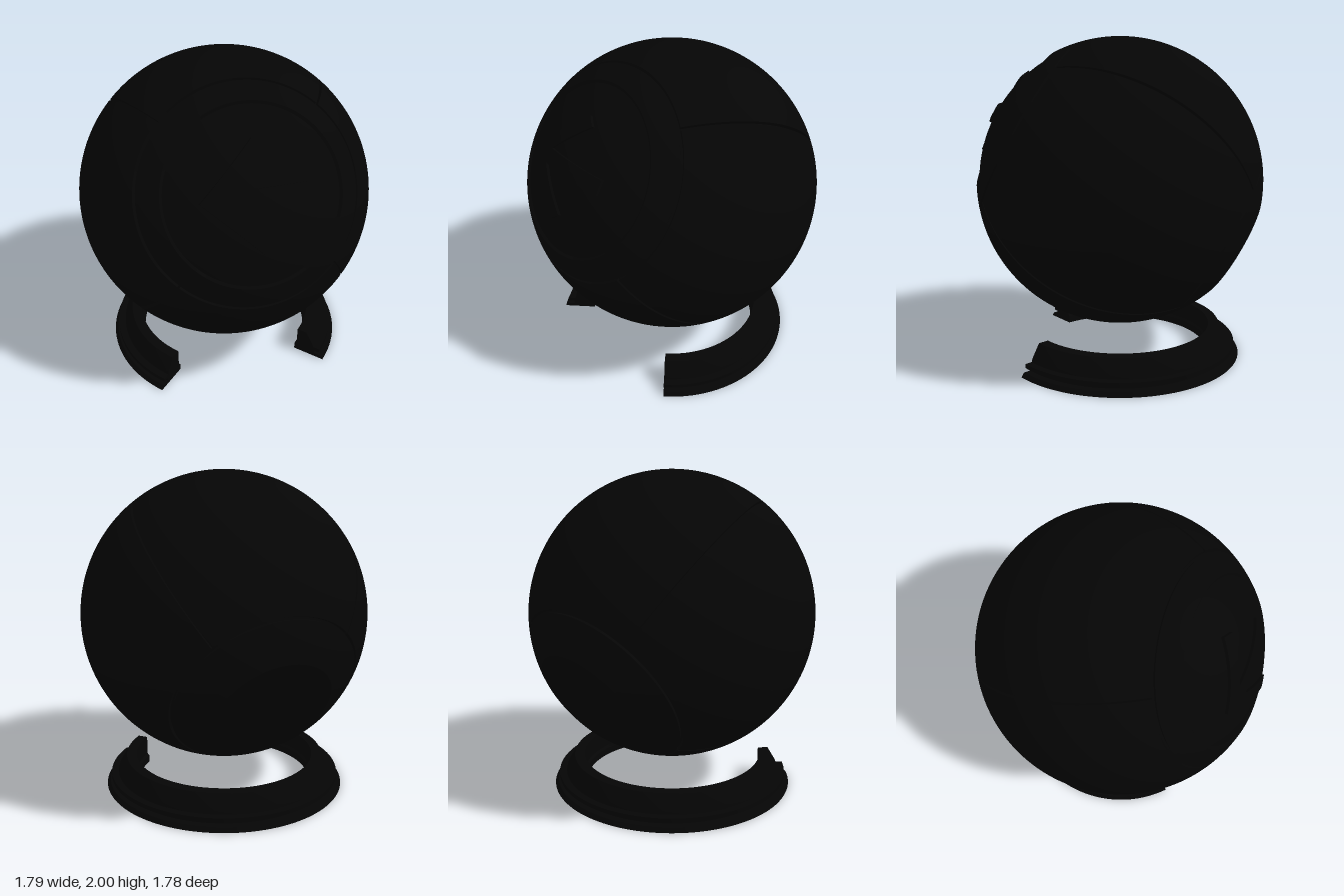
import * as THREE from 'three';
import { toCreasedNormals } from 'three/addons/utils/BufferGeometryUtils.js';

const R = 0.893;          // ball surface
const FLOOR = 0.872;      // bottom of the grooves
const DISC = 0.876;       // sunken front disc
const rad = THREE.MathUtils.degToRad;
const material = new THREE.MeshStandardMaterial({ color: 0x050505, side: THREE.DoubleSide });

function addPart(parent, geometry, name) {
  const mesh = new THREE.Mesh(geometry, material);
  mesh.name = name;
  parent.add(mesh);
  return mesh;
}

// Profile arc measured in degrees from the ball's own axis
function arc(r, from, to, n) {
  return Array.from({ length: n + 1 }, (_, i) => {
    const a = rad(from + (to - from) * i / n);
    return new THREE.Vector2(Math.max(0, r * Math.sin(a)), r * Math.cos(a));
  });
}

const lathe = (points) => toCreasedNormals(new THREE.LatheGeometry(points, 128), 0.3);

// Side panel of the ball, its outermost rows dropping into the grooves
function panelGeometry(polar0, polar1, turn0, turn1) {
  const cols = 44, rows = 48, lip = 0.003;
  const geo = new THREE.PlaneGeometry(1, 1, cols, rows);
  const pos = geo.attributes.position;
  const spread = (i, n, a, b) => {
    const k = THREE.MathUtils.clamp((i - 1) / (n - 2), 0, 1);
    return a + (b - a) * k + (i === 0 ? -lip : i === n ? lip : 0);
  };
  for (let j = 0; j <= rows; j++) {
    for (let i = 0; i <= cols; i++) {
      const edge = i === 0 || j === 0 || i === cols || j === rows;
      const p = new THREE.Vector3().setFromSphericalCoords(
        edge ? FLOOR - 0.004 : R, spread(j, rows, polar0, polar1), spread(i, cols, turn0, turn1));
      pos.setXYZ(j * (cols + 1) + i, p.x, p.y, p.z);
    }
  }
  return toCreasedNormals(geo, 0.3);
}

// Raised bar: a box stretched over four corners and wrapped on the ball
function barGeometry([a, b, c, d]) {
  const geo = new THREE.BoxGeometry(1, 1, 1, 16, 4, 1);
  const pos = geo.attributes.position;
  const mix = THREE.MathUtils.lerp;
  for (let i = 0; i < pos.count; i++) {
    const s = pos.getX(i) + 0.5, t = pos.getY(i) + 0.5;
    const x = mix(mix(a[0], b[0], s), mix(d[0], c[0], s), t);
    const v = mix(mix(a[1], b[1], s), mix(d[1], c[1], s), t);
    const r = pos.getZ(i) > 0 ? R : DISC - 0.01;
    pos.setXYZ(i, x, Math.sqrt(r * r - x * x - v * v), -v);
  }
  return toCreasedNormals(geo, 0.3);
}

function createBall() {
  const ball = new THREE.Group();
  ball.name = 'ball';

  addPart(ball, lathe(arc(FLOOR, 143, 42, 48)), 'grooveFloor');

  // Front rim with the sunken disc
  addPart(ball, lathe([
    ...arc(FLOOR - 0.004, 44.0, 43.8, 1),
    ...arc(R, 43.6, 34.1, 8),
    ...arc(DISC, 33.6, 0, 24),
  ]), 'frontCap');

  // Back rim, cut flat
  addPart(ball, lathe([
    new THREE.Vector2(0, -0.82),
    ...arc(R, 156.7, 141.2, 10),
    ...arc(FLOOR - 0.004, 140.9, 140.8, 1),
  ]), 'backCap');

  // Four panels split by seams
  for (let k = 0; k < 4; k++) {
    const start = Math.PI / 4 + k * Math.PI / 2;
    addPart(ball, panelGeometry(rad(44.8), rad(140), start + 0.011, start + Math.PI / 2 - 0.011), 'panel');
  }

  // Raised arrow on the disc, built as mirrored halves
  const headHalf = [[-0.2, 0], [0.06, 0.26], [0, 0.305], [-0.31, 0]];
  const shaftHalf = [[-0.2, 0], [0.27, 0], [0.27, 0.045], [-0.155, 0.045]];
  const mirror = ([a, b, c, d]) => [d, c, b, a].map(([x, v]) => [x, -v]);
  for (const [half, name] of [[headHalf, 'arrowHead'], [shaftHalf, 'arrowShaft']]) {
    addPart(ball, barGeometry(half), name);
    addPart(ball, barGeometry(mirror(half)), name);
  }

  // Axis leans up and forward
  ball.rotation.x = rad(60);
  ball.position.y = 2 - R;
  return ball;
}

function createStand() {
  const stand = new THREE.Group();
  stand.name = 'stand';
  // Stepped section: outside going up, then inside going down
  const profile = [
    [0.77, 0], [0.75, 0.025], [0.705, 0.025], [0.705, 0.05], [0.74, 0.05], [0.74, 0.075],
    [0.695, 0.075], [0.69, 0.095], [0.64, 0.18], [0.575, 0.18], [0.575, 0.06], [0.56, 0.045],
    [0.56, 0], [0.77, 0],
  ].map(([r, y]) => new THREE.Vector2(r, y));
  const start = rad(45), sweep = rad(270);
  addPart(stand, toCreasedNormals(new THREE.LatheGeometry(profile, 96, start, sweep), 0.3), 'standRing');

  // Cut ends either side of the front opening
  for (const turn of [start, start + sweep]) {
    const end = addPart(stand, new THREE.ShapeGeometry(new THREE.Shape(profile.slice(0, -1))), 'standEnd');
    end.rotation.y = turn - Math.PI / 2;
  }
  return stand;
}

export function createModel() {
  const model = new THREE.Group();
  model.name = 'previewBall';
  model.add(createBall(), createStand());
  return model;
}
